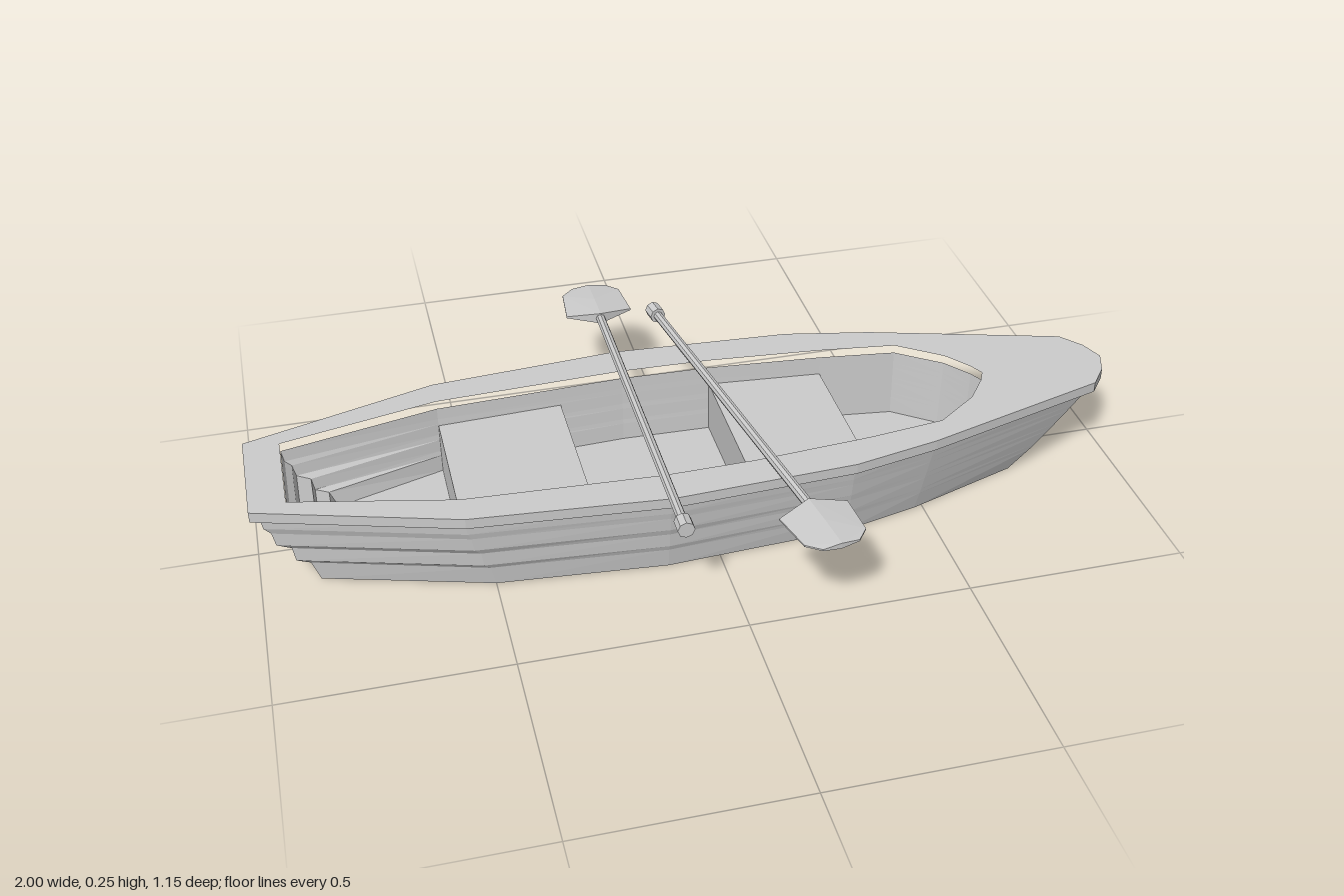
import * as THREE from 'three';
import { ConvexGeometry } from 'three/addons/geometries/ConvexGeometry.js';

const material = new THREE.MeshStandardMaterial({ color: 0xcccccc, flatShading: true });

// Half outlines [x, half width] from stern to bow
const RIM = [[-1, 0.13], [-0.56, 0.264], [-0.12, 0.3], [0.3, 0.278], [0.5, 0.236], [0.94, 0.105], [0.98, 0.055], [1, 0]];
const HULL_TOP = [[-0.98, 0.122], [-0.56, 0.25], [-0.12, 0.286], [0.3, 0.266], [0.5, 0.228], [0.92, 0.104], [0.965, 0.055], [0.985, 0]];
const HULL_BASE = [[-0.87, 0.11], [-0.5, 0.22], [-0.12, 0.252], [0.3, 0.228], [0.48, 0.186], [0.75, 0.095], [0.785, 0.05], [0.8, 0]];
const WELL_TOP = [[-0.92, 0.11], [-0.56, 0.192], [-0.12, 0.213], [0.09, 0.208], [0.36, 0.186], [0.54, 0.163], [0.64, 0.09], [0.685, 0.03], [0.7, 0]];
const WELL_BASE = [[-0.81, 0.104], [-0.56, 0.185], [-0.12, 0.208], [0.09, 0.203], [0.36, 0.182], [0.54, 0.16], [0.635, 0.088], [0.68, 0.029], [0.695, 0]];

// Overlapping planks: [height fraction, flare fraction]
const PLANKS = [[0, 0], [0.25, 0.16], [0.32, 0.43], [0.5, 0.48], [0.58, 0.76], [0.75, 0.82], [0.83, 0.95], [1, 1]];

function mirrored(half) {
  return [...half, ...half.slice(0, -1).reverse().map(([x, z]) => [x, -z])];
}

function toShape(points) {
  return new THREE.Shape(points.map(([x, z]) => new THREE.Vector2(x, z)));
}

// Slab lying flat, its underside at y
function slab(shape, y, height) {
  const g = new THREE.ExtrudeGeometry(shape, { depth: height, bevelEnabled: false });
  return g.rotateX(-Math.PI / 2).translate(0, y, 0);
}

// Plank-stepped shell between two outlines, closed at the bottom
function shell(baseHalf, topHalf, y0, y1, inward) {
  const base = mirrored(baseHalf), top = mirrored(topHalf), n = base.length;
  const pos = [], index = [];
  for (const [h, step] of PLANKS) {
    base.forEach(([bx, bz], i) => {
      const [tx, tz] = top[i];
      const w = THREE.MathUtils.clamp(0.35 - bx * 0.8, 0, 1); // steps fade towards the bow
      const t = THREE.MathUtils.lerp(Math.pow(h, 0.9), step, w);
      pos.push(bx + (tx - bx) * t, y0 + (y1 - y0) * h, bz + (tz - bz) * t);
    });
  }
  const tri = (a, b, c) => (inward ? index.push(a, c, b) : index.push(a, b, c));
  for (let r = 0; r < PLANKS.length - 1; r++) {
    for (let i = 0; i < n; i++) {
      const a = r * n + i, b = r * n + (i + 1) % n;
      tri(a, b, b + n);
      tri(a, b + n, a + n);
    }
  }
  const centre = pos.length / 3;
  pos.push(0, y0, 0);
  for (let i = 0; i < n; i++) tri(centre, (i + 1) % n, i);
  const g = new THREE.BufferGeometry();
  g.setAttribute('position', new THREE.Float32BufferAttribute(pos, 3));
  g.setIndex(index);
  const flat = g.toNonIndexed();
  flat.computeVertexNormals();
  return flat;
}

function add(parent, name, geometry) {
  const mesh = new THREE.Mesh(geometry, material);
  mesh.name = name;
  parent.add(mesh);
  return mesh;
}

// Oar along z, blade towards -z
function makeOar(name) {
  const oar = new THREE.Group();
  oar.name = name;
  add(oar, 'shaft', new THREE.CylinderGeometry(0.011, 0.011, 0.88, 8).rotateX(Math.PI / 2).translate(0, 0, -0.01));
  add(oar, 'grip', new THREE.CylinderGeometry(0.019, 0.019, 0.036, 8).rotateX(Math.PI / 2).translate(0, 0, 0.422));
  const pts = [];
  for (const s of [-1, 1]) {
    for (const [x, z] of [[0.08, -0.45], [0.071, -0.55], [0.042, -0.578]]) {
      pts.push(new THREE.Vector3(x, s * 0.002, z), new THREE.Vector3(-x, s * 0.002, z));
    }
    for (const [y, z] of [[0.014, -0.425], [0.012, -0.5], [0.007, -0.58]]) pts.push(new THREE.Vector3(0, s * y, z));
  }
  add(oar, 'blade', new ConvexGeometry(pts));
  return oar;
}

export function createModel() {
  const model = new THREE.Group();
  model.name = 'rowingBoat';

  const boat = new THREE.Group();
  boat.name = 'boat';
  boat.position.z = 0.01;
  model.add(boat);

  // Outer hull and inner well
  add(boat, 'hull', shell(HULL_BASE, HULL_TOP, 0, 0.2, false));
  add(boat, 'innerWell', shell(WELL_BASE, WELL_TOP, 0.03, 0.2, true));

  // Flat rim with the cockpit opening
  const rim = toShape(mirrored(RIM));
  rim.holes.push(toShape(mirrored(WELL_TOP)));
  add(boat, 'gunwale', slab(rim, 0.195, 0.025));

  // Block seats
  for (const [name, x0, w0, x1, w1] of [['aftSeat', -0.56, 0.188, -0.27, 0.203], ['foreSeat', 0.09, 0.205, 0.36, 0.183]]) {
    add(boat, name, slab(toShape([[x0, -w0], [x1, -w1], [x1, w1], [x0, w0]]), 0.03, 0.125));
  }

  // Oars laid across the gunwales
  const first = makeOar('aftOar');
  first.position.set(-0.123, 0.234, 0);
  const second = makeOar('foreOar');
  second.position.set(0.08, 0.234, -0.005);
  second.rotation.y = Math.PI + 0.16;
  model.add(first, second);
  return model;
}
